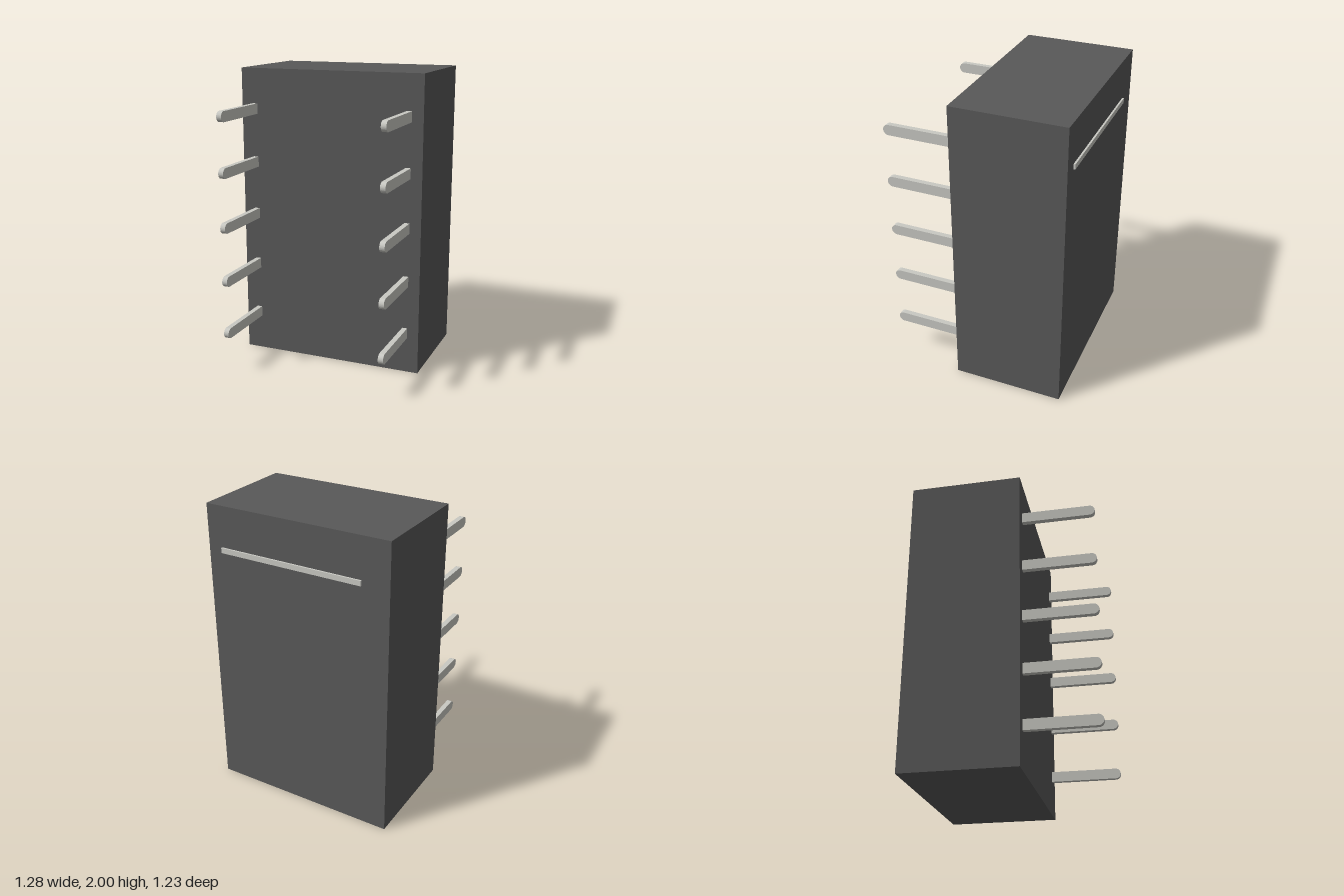
import * as THREE from 'three';

const BODY = { width: 1.28, height: 2, back: -0.605, front: 0.135 };
const PIN = { width: 0.035, radius: 0.035, tip: 0.617, x: 0.545, firstY: 0.277, pitch: 0.363, rows: 5 };

// Flat pin with a semicircular tip, pointing along +z
function pinGeometry() {
  const r = PIN.radius;
  const profile = new THREE.Shape();
  profile.moveTo(BODY.front, -r);
  profile.lineTo(PIN.tip - r, -r);
  profile.absarc(PIN.tip - r, 0, r, -Math.PI / 2, Math.PI / 2, false);
  profile.lineTo(BODY.front, r);
  profile.closePath();
  const geometry = new THREE.ExtrudeGeometry(profile, { depth: PIN.width, bevelEnabled: false, curveSegments: 12 });
  geometry.translate(0, 0, -PIN.width / 2);
  geometry.rotateY(-Math.PI / 2);
  return geometry;
}

export function createModel() {
  const model = new THREE.Group();
  model.name = 'pinnedHousing';
  const dark = new THREE.MeshStandardMaterial({ color: 0x595959 });
  const metal = new THREE.MeshStandardMaterial({ color: 0xc9c9c3 });

  // Rectangular housing
  const depth = BODY.front - BODY.back;
  const housing = new THREE.Mesh(new THREE.BoxGeometry(BODY.width, BODY.height, depth), dark);
  housing.name = 'housing';
  housing.position.set(0, BODY.height / 2, (BODY.front + BODY.back) / 2);
  model.add(housing);

  // Raised marking bar on the back, slightly off centre
  const bar = new THREE.Mesh(new THREE.BoxGeometry(0.995, 0.034, 0.03), metal);
  bar.name = 'markingBar';
  bar.position.set(0.043, 1.712, -0.602);
  model.add(bar);

  // Two mirrored columns of pins
  const geometry = pinGeometry();
  for (const [side, name] of [[1, 'left'], [-1, 'right']]) {
    const column = new THREE.Group();
    column.name = `${name}Pins`;
    for (let i = 0; i < PIN.rows; i++) {
      const pin = new THREE.Mesh(geometry, metal);
      pin.name = `${name}Pin${i + 1}`;
      pin.position.set(side * PIN.x, PIN.firstY + i * PIN.pitch, 0);
      column.add(pin);
    }
    model.add(column);
  }
  return model;
}
